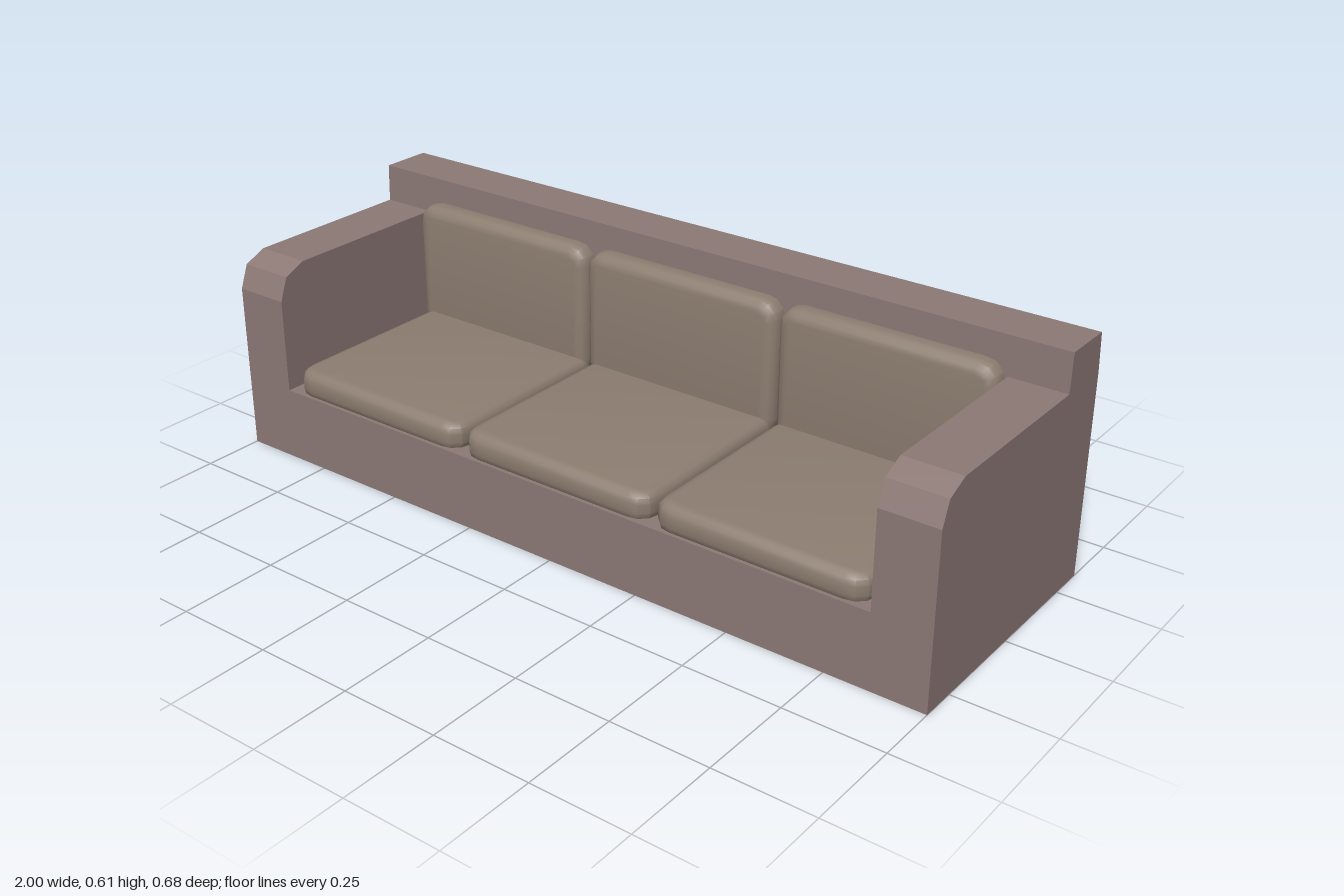
import * as THREE from 'three';
import { toCreasedNormals } from 'three/addons/utils/BufferGeometryUtils.js';

const frameMat = new THREE.MeshStandardMaterial({ color: 0x8c7975, side: THREE.DoubleSide });
const cushionMat = new THREE.MeshStandardMaterial({ color: 0x8c7d70 });

// Side profile given as [z, y] points, extruded along x from x0 to x1
function sideExtrusion(points, x0, x1) {
  const shape = new THREE.Shape(points.map(([z, y]) => new THREE.Vector2(z, y)));
  const geo = new THREE.ExtrudeGeometry(shape, { depth: x1 - x0, bevelEnabled: false });
  return geo.rotateY(-Math.PI / 2).translate(x1, 0, 0);
}

// Soft slab centred on the origin, thickness along z, with rounded corners and rims
function cushionGeometry(width, height, thickness, bevel, corner) {
  const w = width / 2 - bevel, h = height / 2 - bevel, r = corner;
  const s = new THREE.Shape();
  s.moveTo(-w + r, -h);
  s.lineTo(w - r, -h);
  s.quadraticCurveTo(w, -h, w, -h + r);
  s.lineTo(w, h - r);
  s.quadraticCurveTo(w, h, w - r, h);
  s.lineTo(-w + r, h);
  s.quadraticCurveTo(-w, h, -w, h - r);
  s.lineTo(-w, -h + r);
  s.quadraticCurveTo(-w, -h, -w + r, -h);
  const depth = thickness - 2 * bevel;
  const geo = new THREE.ExtrudeGeometry(s, {
    depth, bevelThickness: bevel, bevelSize: bevel, bevelSegments: 3, curveSegments: 3,
  });
  return toCreasedNormals(geo.translate(0, 0, -depth / 2), 0.6);
}

export function createModel() {
  const group = new THREE.Group();
  const add = (name, geo, mat, x = 0, y = 0, z = 0) => {
    const mesh = new THREE.Mesh(geo, mat);
    mesh.name = name;
    mesh.position.set(x, y, z);
    group.add(mesh);
    return mesh;
  };

  // Arms with a chamfered front top edge
  const armProfile = [[-0.198, 0], [0.341, 0], [0.341, 0.433], [0.318, 0.492], [0.26, 0.517], [-0.198, 0.517]];
  add('leftArm', sideExtrusion(armProfile, 0.855, 1), frameMat);
  add('rightArm', sideExtrusion(armProfile, -1, -0.855), frameMat);

  // Full-width backrest, tapering slightly above the arms
  const backProfile = [[-0.341, 0], [-0.197, 0], [-0.197, 0.517], [-0.2, 0.614], [-0.334, 0.614], [-0.341, 0.517]];
  add('backrest', sideExtrusion(backProfile, -1, 1), frameMat);

  // Thin front panel and seat deck; the base is open underneath
  add('frontPanel', new THREE.PlaneGeometry(1.71, 0.19), frameMat, 0, 0.095, 0.341);
  add('seatDeck', new THREE.PlaneGeometry(1.71, 0.538).rotateX(-Math.PI / 2), frameMat, 0, 0.19, 0.072);

  // Three seat cushions and three back cushions
  const seatGeo = cushionGeometry(0.55, 0.535, 0.075, 0.025, 0.03).rotateX(-Math.PI / 2);
  const backGeo = cushionGeometry(0.563, 0.35, 0.08, 0.027, 0.025);
  ['right', 'middle', 'left'].forEach((side, i) => {
    add(side + 'SeatCushion', seatGeo, cushionMat, (i - 1) * 0.561, 0.215, 0.067);
    add(side + 'BackCushion', backGeo, cushionMat, (i - 1) * 0.569, 0.376, -0.19);
  });

  return group;
}
